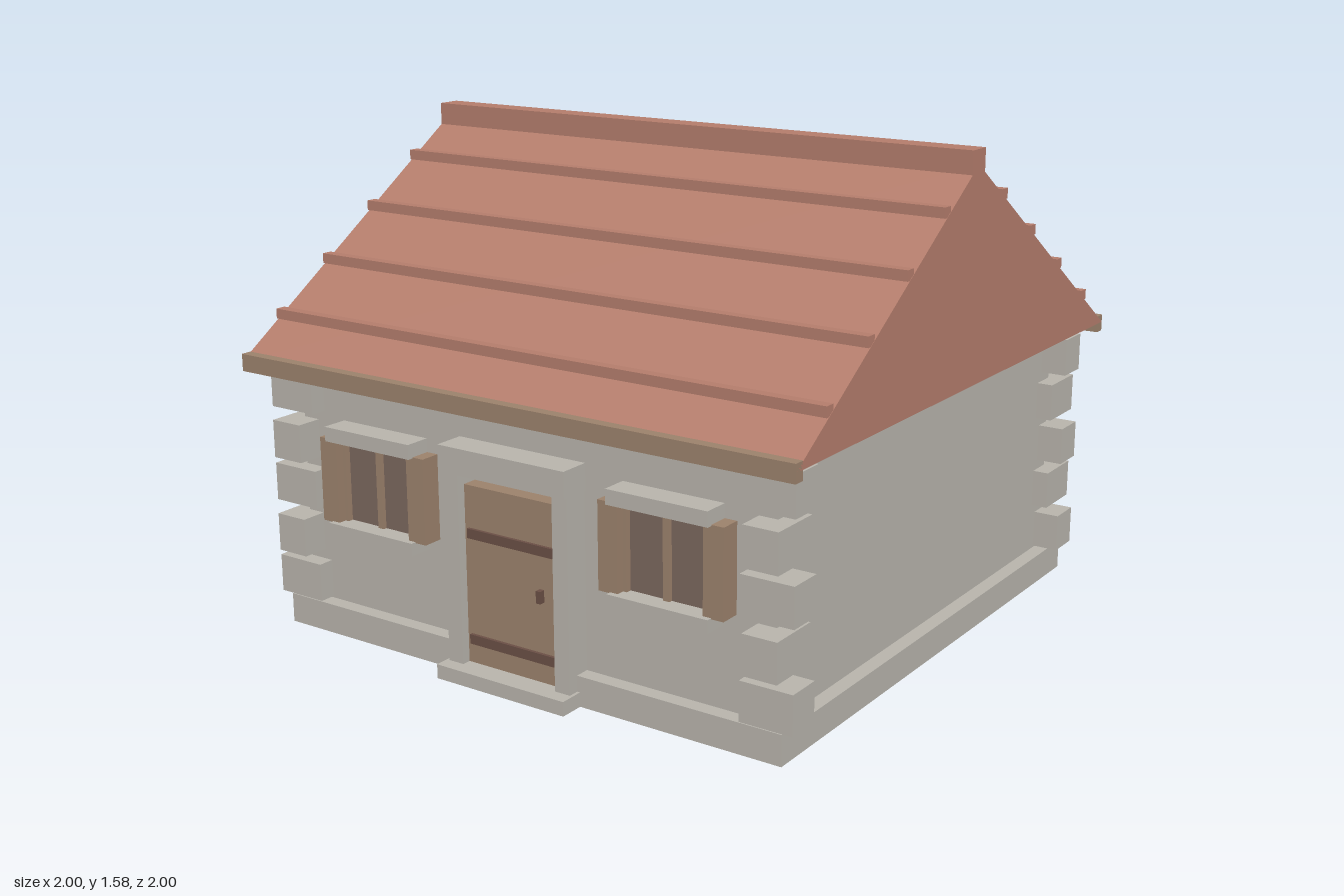
import * as THREE from 'three';

const material = (color) => new THREE.MeshStandardMaterial({ color, flatShading: true });

export function createModel() {
  const house = new THREE.Group();
  house.name = 'cottage';
  const stone = material(0xb8b4ac);
  const tile = material(0xb47d6c);
  const wood = material(0x9c826c);
  const dark = material(0x7b675d);
  const iron = material(0x6a4f45);

  // Box given by its min and max on each axis
  const box = (parent, name, mat, [x0, x1], [y0, y1], [z0, z1]) => {
    const mesh = new THREE.Mesh(new THREE.BoxGeometry(x1 - x0, y1 - y0, z1 - z0), mat);
    mesh.position.set((x0 + x1) / 2, (y0 + y1) / 2, (z0 + z1) / 2);
    mesh.name = name;
    parent.add(mesh);
    return mesh;
  };
  // Range mirrored to the negative side when s is -1
  const side = (s, a, b) => (s > 0 ? [a, b] : [-b, -a]);

  // Plinth and walls
  box(house, 'plinth', stone, [-0.92, 0.92], [0, 0.095], [-0.92, 0.92]);
  box(house, 'walls', stone, [-0.872, 0.872], [0.095, 0.875], [-0.872, 0.872]);

  // Corner stones, alternating long side from course to course
  const quoins = new THREE.Group();
  quoins.name = 'cornerStones';
  house.add(quoins);
  for (const sx of [-1, 1]) {
    for (const sz of [-1, 1]) {
      for (let i = 0; i < 5; i++) {
        const y = 0.1 + i * 0.154;
        const long = [0.785, 0.957], short = [0.812, 0.925];
        const [rx, rz] = i % 2 ? [short, long] : [long, short];
        box(quoins, 'cornerStone', stone, side(sx, ...rx), [y, y + 0.122], side(sz, ...rz));
      }
    }
  }

  // Solid gabled roof, extruded along x
  const gable = new THREE.Shape([
    new THREE.Vector2(-1, 0.87), new THREE.Vector2(1, 0.87), new THREE.Vector2(0, 1.53),
  ]);
  const roofGeometry = new THREE.ExtrudeGeometry(gable, { depth: 2, bevelEnabled: false });
  roofGeometry.translate(0, 0, -1).rotateY(Math.PI / 2);
  const roof = new THREE.Mesh(roofGeometry, tile);
  roof.name = 'roof';
  house.add(roof);
  box(house, 'ridge', tile, [-1, 1], [1.49, 1.575], [-0.04, 0.04]);
  for (const s of [-1, 1]) {
    for (let i = 0; i < 4; i++) {
      const z = 0.187 + i * 0.2145;
      const y = 1.53 - 0.66 * z;
      box(house, 'roofBatten', tile, [-0.999, 0.999], [y - 0.004, y + 0.028], side(s, z - 0.017, z + 0.017));
    }
    box(house, 'eaveBoard', wood, [-1, 1], [0.84, 0.895], side(s, 0.965, 1));
  }

  // Chimney
  box(house, 'chimneyShaft', stone, [0.405, 0.59], [1.05, 1.415], [-0.56, -0.375]);
  box(house, 'chimneyCap', stone, [0.38, 0.615], [1.412, 1.463], [-0.588, -0.352]);
  box(house, 'chimneyFlue', dark, [0.432, 0.563], [1.45, 1.472], [-0.535, -0.403]);

  // Window with shutters, built facing +z with its wall at z = 0
  const addWindow = (name, x, z, turn) => {
    const g = new THREE.Group();
    g.name = name;
    box(g, 'pane', dark, [-0.14, 0.14], [0.385, 0.655], [-0.01, 0.022]);
    box(g, 'mullion', wood, [-0.011, 0.011], [0.385, 0.655], [0, 0.034]);
    for (const s of [-1, 1]) {
      box(g, 'windowFrame', wood, side(s, 0.13, 0.143), [0.385, 0.655], [0, 0.04]);
      box(g, 'shutter', wood, side(s, 0.143, 0.21), [0.385, 0.655], [0, 0.066]);
    }
    box(g, 'windowLintel', stone, [-0.17, 0.17], [0.652, 0.698], [-0.01, 0.084]);
    box(g, 'windowSill', stone, [-0.17, 0.17], [0.348, 0.388], [-0.01, 0.084]);
    g.position.set(x, 0, z);
    g.rotation.y = turn;
    house.add(g);
  };
  addWindow('frontWindowLeft', 0.533, 0.872, 0);
  addWindow('frontWindowRight', -0.533, 0.872, 0);
  addWindow('sideWindow', -0.872, -0.15, -Math.PI / 2);

  // Front door with stone surround
  const door = new THREE.Group();
  door.name = 'frontDoor';
  house.add(door);
  box(door, 'doorStep', stone, [-0.238, 0.238], [0, 0.045], [0.85, 1]);
  for (const s of [-1, 1]) box(door, 'doorJamb', stone, side(s, 0.174, 0.228), [0.045, 0.65], [0.86, 0.955]);
  box(door, 'doorLintel', stone, [-0.232, 0.232], [0.645, 0.727], [0.86, 0.972]);
  box(door, 'doorLeaf', wood, [-0.174, 0.174], [0.045, 0.604], [0.86, 0.926]);
  for (const y of [0.108, 0.442]) box(door, 'doorStrap', iron, [-0.16, 0.157], [y, y + 0.03], [0.92, 0.936]);
  box(door, 'doorHandle', iron, [0.102, 0.118], [0.298, 0.336], [0.92, 0.945]);

  return house;
}
